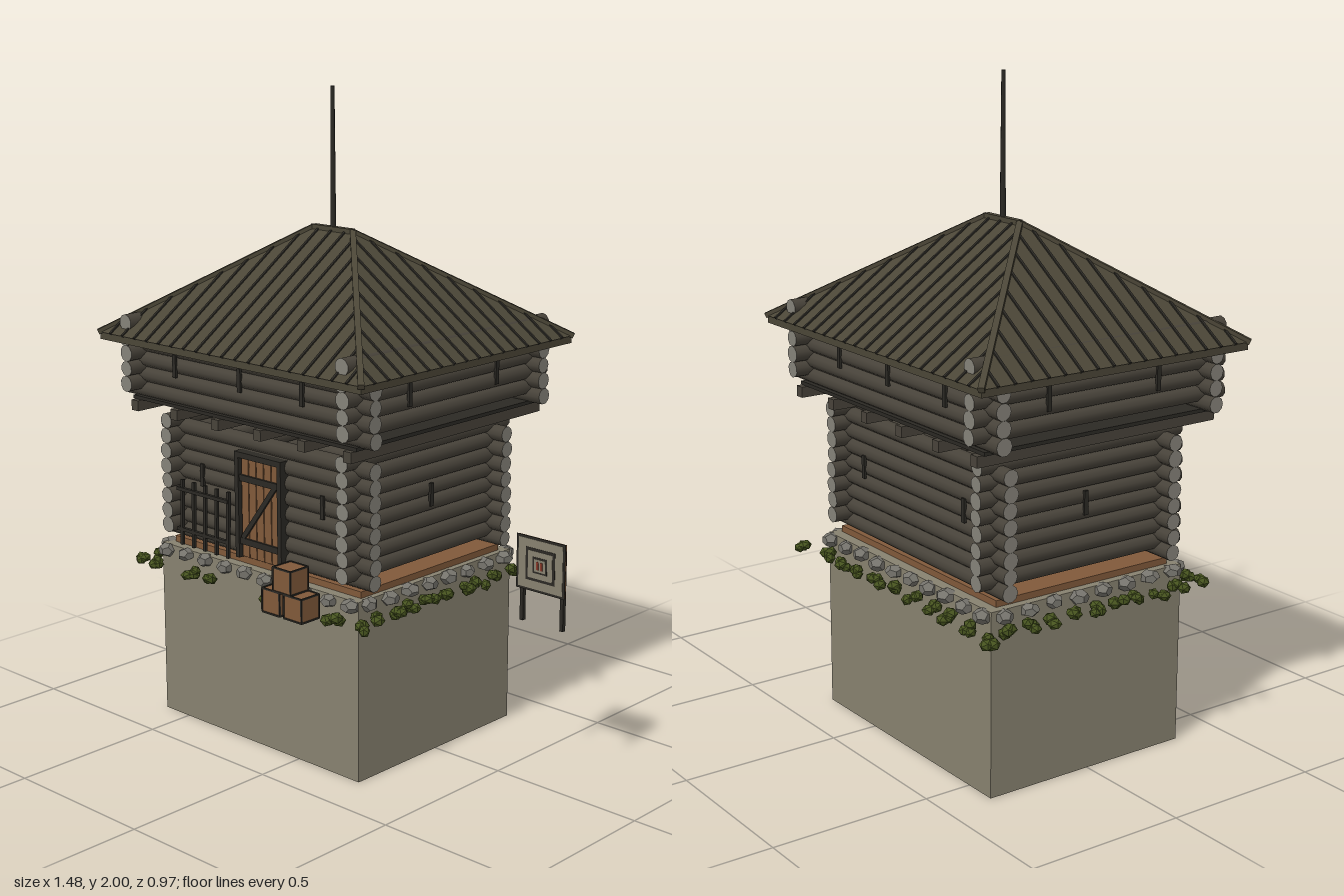
import * as THREE from 'three';

const flat = (name, color) => {
  const m = new THREE.MeshStandardMaterial({ color });
  m.name = name;
  return m;
};
const M = {
  log: flat('dark log', 0x48433a),
  end: flat('cut log end', 0x858279),
  roof: flat('roof board', 0x4b4637),
  dark: flat('dark timber', 0x2b2924),
  base: flat('plinth', 0x87816f),
  stone: flat('field stone', 0x76746d),
  leaf: flat('bush green', 0x47541f),
  wood: flat('door wood', 0x80593a),
  red: flat('bullseye red', 0x8a3a2a),
};

let seed = 7;
const rnd = () => (seed = (seed * 16807) % 2147483647) / 2147483647;
const CX = -0.177; // building centre line

export function createModel() {
  const root = new THREE.Group();
  root.name = 'blockhouse';
  const group = (name) => {
    const g = new THREE.Group();
    g.name = name;
    root.add(g);
    return g;
  };
  const add = (parent, name, geo, mat, x = 0, y = 0, z = 0) => {
    const m = new THREE.Mesh(geo, mat);
    m.name = name;
    m.position.set(x, y, z);
    parent.add(m);
    return m;
  };
  // box given by its limits
  const box = (p, name, mat, x0, x1, y0, y1, z0, z1) =>
    add(p, name, new THREE.BoxGeometry(x1 - x0, y1 - y0, z1 - z0), mat, (x0 + x1) / 2, (y0 + y1) / 2, (z0 + z1) / 2);
  // square bar between two points
  const bar = (p, name, mat, a, b, w, h = w) => {
    const A = new THREE.Vector3(...a), B = new THREE.Vector3(...b);
    const m = add(p, name, new THREE.BoxGeometry(w, h, A.distanceTo(B)), mat);
    m.position.copy(A).add(B).multiplyScalar(0.5);
    m.lookAt(B);
    return m;
  };

  // Plinth and plank floor
  box(root, 'plinth', M.base, -0.605, 0.25, 0, 0.562, -0.35, 0.345);
  box(root, 'plankFloor', M.wood, -0.58, 0.23, 0.562, 0.582, -0.315, 0.312);

  // Interlocking log walls: long logs run along x, cross logs along z, half a step higher
  const logWalls = (name, y0, n, nSide, hx, hz, overX, overZ) => {
    const g = group(name);
    const mats = [M.log, M.end, M.end];
    const pitch = 0.048;
    const log = (len) => new THREE.CylinderGeometry(0.0235 + rnd() * 0.002, 0.0245 + rnd() * 0.002, len + rnd() * 0.01, 10);
    for (const s of [-1, 1]) {
      for (let i = 0; i < n; i++) {
        const m = add(g, 'longLog', log(2 * (hx + overX)), mats, CX, y0 + i * pitch, s * hz - 0.002);
        m.rotation.z = ((i % 2 ? 1 : -1) * Math.PI) / 2;
      }
      for (let i = 0; i < nSide; i++) {
        const m = add(g, 'crossLog', log(2 * (hz + overZ)), mats, CX + s * hx, y0 + (i + 0.5) * pitch, -0.002);
        m.rotation.x = ((i % 2 ? 1 : -1) * Math.PI) / 2;
      }
    }
    return g;
  };
  logWalls('lowerWalls', 0.611, 8, 8, 0.378, 0.297, 0.068, 0.065);
  logWalls('upperWalls', 1.066, 4, 5, 0.46, 0.378, 0.062, 0.068);

  // Loopholes on all four walls
  const slits = group('loopholes');
  const slit = (x, y, z, side) =>
    add(slits, 'loophole', new THREE.BoxGeometry(side ? 0.008 : 0.014, 0.072, side ? 0.014 : 0.008), M.dark, x, y, z);
  for (const s of [-1, 1]) {
    for (const dx of [-0.285, 0, 0.26]) slit(CX + dx, 1.165, s * 0.403 - 0.002, false);
    for (const dz of [-0.2, 0.19]) slit(CX + s * 0.485, 1.165, dz, true);
    for (const dx of [-0.26, 0.26]) slit(CX + dx, 0.81, s * 0.322 - 0.002, false);
    slit(CX + s * 0.403, 0.81, 0, true);
  }

  // Joists and overhanging floor
  const floor = group('overhangFloor');
  for (let i = 0; i < 6; i++) {
    const x = -0.63 + i * 0.182;
    box(floor, 'joist', M.log, x - 0.015, x + 0.015, 1.002, 1.035, -0.428, 0.422);
  }
  box(floor, 'floorBoards', M.dark, -0.655, 0.3, 1.035, 1.046, -0.41, 0.405);

  // Hipped roof
  const roof = group('roof');
  const X0 = -0.735, X1 = 0.38, Z0 = -0.48, Z1 = 0.47, YE = 1.245, YR = 1.57, RX0 = -0.26, RX1 = -0.095;
  const c = [[X0, YE, Z1], [X1, YE, Z1], [X1, YE, Z0], [X0, YE, Z0]];
  const r0 = [RX0, YR, 0], r1 = [RX1, YR, 0];
  const tris = [c[0], c[1], r1, c[0], r1, r0, c[1], c[2], r1, c[2], c[3], r0, c[2], r0, r1, c[3], c[0], r0];
  const hip = new THREE.BufferGeometry();
  hip.setAttribute('position', new THREE.Float32BufferAttribute(tris.flat(), 3));
  hip.computeVertexNormals();
  add(roof, 'roofSlopes', hip, M.roof);
  box(roof, 'eaveBoard', M.roof, X0 + 0.004, X1 - 0.004, 1.222, YE - 0.001, Z0 + 0.004, Z1 - 0.004);
  // seam battens up each slope, stopped at the hips
  const runX = RX0 - X0;
  const nx = 20, nz = 17;
  for (let i = 1; i < nx; i++) {
    const x = X0 + ((X1 - X0) * i) / nx;
    const f = Math.min(1, (x - X0) / runX, (X1 - x) / runX);
    for (const z of [Z0, Z1]) bar(roof, 'seam', M.dark, [x, YE, z], [x, YE + (YR - YE) * f, z * (1 - f)], 0.008, 0.008);
  }
  for (let i = 1; i < nz; i++) {
    const z = Z0 + ((Z1 - Z0) * i) / nz;
    const f = z < 0 ? 1 - z / Z0 : 1 - z / Z1;
    for (const [e, r] of [[X0, RX0], [X1, RX1]])
      bar(roof, 'seam', M.dark, [e, YE, z], [e + (r - e) * f, YE + (YR - YE) * f, z], 0.008, 0.008);
  }
  [r0, r1, r1, r0].forEach((r, i) => bar(roof, 'hipCap', M.roof, c[i], r, 0.018, 0.016));
  bar(roof, 'ridgeCap', M.roof, r0, r1, 0.02, 0.016);

  // Flag pole
  add(root, 'pole', new THREE.CylinderGeometry(0.006, 0.009, 0.44, 8), M.dark, CX, 1.78, 0);

  // Plank door with frame and brace
  const door = group('door');
  for (let i = 0; i < 5; i++) {
    const x = -0.252 + i * 0.0325;
    box(door, 'doorPlank', M.wood, x, x + 0.029, 0.59, 0.9, 0.31, 0.328);
  }
  box(door, 'doorBacking', M.dark, -0.26, -0.085, 0.588, 0.905, 0.3, 0.316);
  for (const x of [-0.265, -0.082]) box(door, 'doorPost', M.dark, x - 0.008, x + 0.008, 0.585, 0.92, 0.3, 0.338);
  box(door, 'lintel', M.dark, -0.273, -0.074, 0.903, 0.921, 0.3, 0.338);
  for (const y of [0.64, 0.84]) box(door, 'doorRail', M.dark, -0.255, -0.09, y - 0.01, y + 0.01, 0.325, 0.335);
  bar(door, 'doorBrace', M.dark, [-0.245, 0.65, 0.331], [-0.1, 0.84, 0.331], 0.008, 0.016);

  // Rack beside the door
  const rack = group('rack');
  for (let i = 0; i < 5; i++) bar(rack, 'rackPost', M.dark, [-0.485 + i * 0.052, 0.585, 0.366], [-0.485 + i * 0.052, 0.795, 0.36], 0.01);
  for (const y of [0.635, 0.765]) bar(rack, 'rackRail', M.dark, [-0.505, y, 0.364], [-0.275, y, 0.364], 0.011);

  // Stacked crates with dark edging
  const crates = group('crates');
  for (const [x, y] of [[0.027, 0.546], [0.117, 0.546], [0.073, 0.62]]) {
    const s = 0.036, z = 0.445;
    box(crates, 'crate', M.wood, x - s, x + s, y - s, y + s, z - s, z + s);
    for (const a of [-s, s]) for (const b of [-s, s]) {
      bar(crates, 'crateEdge', M.dark, [x - s, y + a, z + b], [x + s, y + a, z + b], 0.005);
      bar(crates, 'crateEdge', M.dark, [x + a, y - s, z + b], [x + a, y + s, z + b], 0.005);
      bar(crates, 'crateEdge', M.dark, [x + a, y + b, z - s], [x + a, y + b, z + s], 0.005);
    }
  }

  // Stones and bushes around the plinth top
  const rocks = group('footingStones');
  const bushes = group('bushes');
  const rockGeo = new THREE.DodecahedronGeometry(1, 0);
  const leafGeo = new THREE.IcosahedronGeometry(1, 0);
  const lump = (p, name, geo, mat, x, y, z, w, h) => {
    const m = add(p, name, geo, mat, x, y, z);
    m.scale.set(w, h, w);
    m.rotation.y = rnd() * 6;
  };
  const stone = (x, z) => lump(rocks, 'stone', rockGeo, M.stone, x, 0.543 + rnd() * 0.008, z, 0.026 + rnd() * 0.006, 0.02 + rnd() * 0.004);
  const bush = (x, z) => {
    for (let k = 0; k < 3; k++)
      lump(bushes, 'bush', leafGeo, M.leaf, x + (rnd() - 0.5) * 0.035, 0.5 + rnd() * 0.02, z + (rnd() - 0.5) * 0.03, 0.017 + rnd() * 0.006, 0.016 + rnd() * 0.004);
  };
  for (let i = 0; i < 10; i++) for (const z of [-0.358, 0.353]) stone(-0.575 + i * 0.089, z);
  for (let i = 0; i < 8; i++) for (const x of [-0.612, 0.257]) stone(x, -0.31 + i * 0.088);
  for (const x of [-0.59, -0.435, -0.355, -0.085, 0.19]) bush(x, 0.385);
  for (let i = 0; i < 9; i++) bush(-0.55 + i * 0.093, -0.39);
  for (let i = 0; i < 9; i++) for (const x of [-0.645, 0.29]) bush(x, -0.31 + i * 0.077);
  for (const x of [-0.655, 0.305]) for (const z of [-0.4, 0.39]) bush(x, z);

  // Square practice target on two legs
  const target = group('target');
  const tx = 0.647, ty = 0.68;
  box(target, 'targetBoard', M.wood, tx - 0.086, tx + 0.086, ty - 0.08, ty + 0.08, -0.005, 0.003);
  [[0.088, M.dark], [0.08, M.base], [0.053, M.dark], [0.044, M.base], [0.026, M.dark], [0.02, M.base]].forEach(([s, m], i) =>
    box(target, 'targetRing', m, tx - s, tx + s, ty - s * 0.93, ty + s * 0.93, 0.002, 0.0035 + i * 0.001));
  for (const d of [-0.007, 0.007]) box(target, 'bullseye', M.red, tx + d - 0.004, tx + d + 0.004, ty - 0.012, ty + 0.012, 0.004, 0.0105);
  for (const d of [-0.073, 0.073]) box(target, 'targetLeg', M.dark, tx + d - 0.006, tx + d + 0.006, 0.497, 0.745, -0.016, -0.004);

  return root;
}
